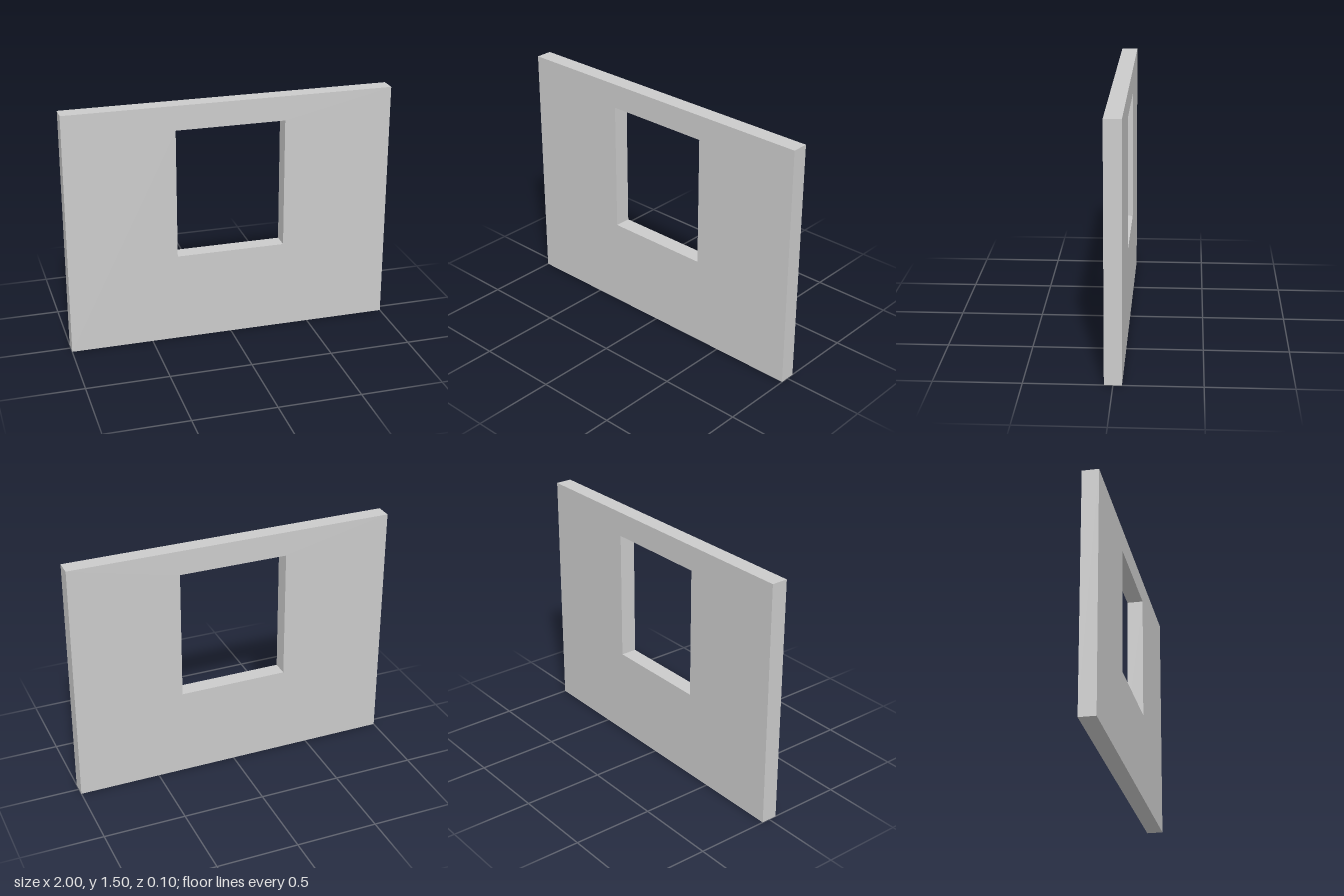
import * as THREE from 'three';

const WIDTH = 2, HEIGHT = 1.5, DEPTH = 0.1;
const OPENING = { width: 0.667, bottom: 0.55, top: 1.35 };

// Closed rectangle centred on x = 0
function rectangle(path, width, bottom, top) {
  const h = width / 2;
  path.moveTo(-h, bottom);
  path.lineTo(h, bottom);
  path.lineTo(h, top);
  path.lineTo(-h, top);
  path.closePath();
  return path;
}

export function createModel() {
  const model = new THREE.Group();
  model.name = 'windowWall';

  // Wall panel with a window opening cut through it
  const outline = rectangle(new THREE.Shape(), WIDTH, 0, HEIGHT);
  outline.holes.push(rectangle(new THREE.Path(), OPENING.width, OPENING.bottom, OPENING.top));
  const geometry = new THREE.ExtrudeGeometry(outline, { depth: DEPTH, bevelEnabled: false });
  geometry.translate(0, 0, -DEPTH / 2);

  const wall = new THREE.Mesh(
    geometry,
    new THREE.MeshStandardMaterial({ color: 0xcccccc, flatShading: true })
  );
  wall.name = 'wall';
  model.add(wall);
  return model;
}
